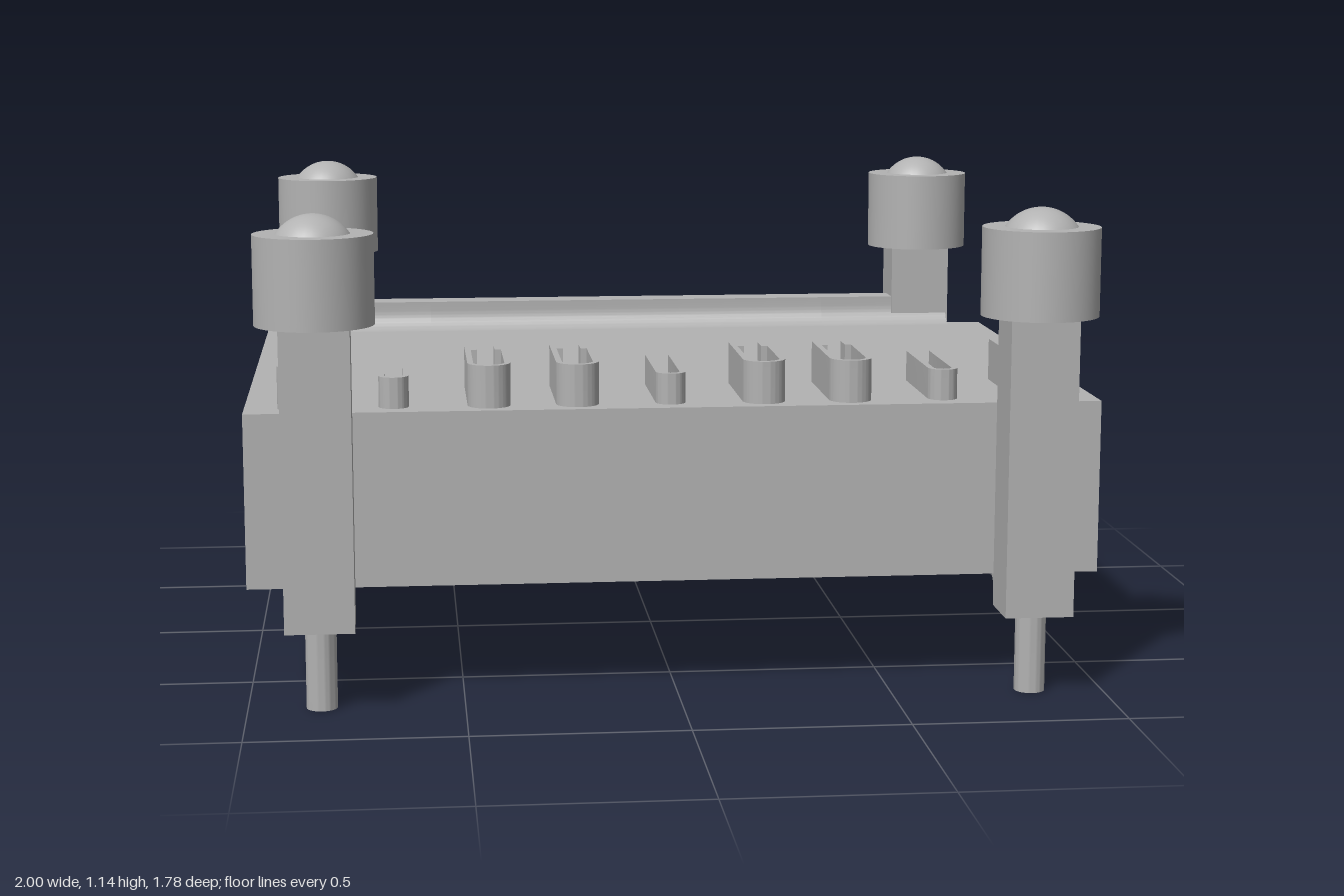
import * as THREE from 'three';
import { toCreasedNormals } from 'three/addons/utils/BufferGeometryUtils.js';

const grey = new THREE.MeshStandardMaterial({ color: 0xb2b2b2 });
grey.name = 'plain grey';

export function createModel() {
  const model = new THREE.Group();
  model.name = 'postedTray';

  const add = (name, geometry, x = 0, y = 0, z = 0, parent = model) => {
    const mesh = new THREE.Mesh(geometry, grey);
    mesh.name = name;
    mesh.position.set(x, y, z);
    parent.add(mesh);
    return mesh;
  };
  const extrude = (shape, depth) => toCreasedNormals(
    new THREE.ExtrudeGeometry(shape, { depth, bevelEnabled: false, curveSegments: 20 }), 0.6);
  // Plan shape drawn as (x, -z), raised along y
  const raise = (shape, height) => extrude(shape, height).rotateX(-Math.PI / 2);
  // Side profile drawn as (-z, y), run along x
  const runAlongX = (shape, length) => extrude(shape, length).rotateY(Math.PI / 2);

  // Main slab
  add('body', new THREE.BoxGeometry(2, 0.41, 1.365), 0, 0.475, 0);

  // Back rail section, with fillets into the body; the middle part is recessed
  const railProfile = (recess) => {
    const s = new THREE.Shape();
    s.moveTo(0.77, 0.195);
    if (recess) {
      s.lineTo(0.745, 0.245);
      s.lineTo(0.745, 0.702);
    }
    s.lineTo(0.77, 0.755);
    s.lineTo(0.69, 0.755);
    s.lineTo(0.69, 0.73);
    s.quadraticCurveTo(0.687, 0.683, 0.64, 0.68);
    s.lineTo(0.64, 0.27);
    s.quadraticCurveTo(0.687, 0.267, 0.69, 0.22);
    s.lineTo(0.69, 0.195);
    s.closePath();
    return s;
  };
  add('backRailMiddle', runAlongX(railProfile(true), 1.1), -0.55);
  for (const x of [-0.905, 0.55]) add('backRailEnd', runAlongX(railProfile(false), 0.355), x);

  // Sloped sides of the back recess
  for (const s of [-1, 1]) {
    const wedge = new THREE.Shape([
      new THREE.Vector2(0.55 * s, 0.77),
      new THREE.Vector2(0.55 * s, 0.74),
      new THREE.Vector2(0.5 * s, 0.745),
    ]);
    add('recessSide', raise(wedge, 0.555), 0, 0.1975, 0);
  }

  // Fillet below the body, behind each front post
  const frontFillet = new THREE.Shape();
  frontFillet.moveTo(-0.695, 0.22);
  frontFillet.lineTo(-0.69, 0.22);
  frontFillet.quadraticCurveTo(-0.687, 0.267, -0.64, 0.27);
  frontFillet.lineTo(-0.695, 0.28);
  frontFillet.closePath();

  // Hollow-ended foot pin
  const footRing = new THREE.Shape().absarc(0, 0, 0.036, 0, Math.PI * 2);
  footRing.holes.push(new THREE.Path().absarc(0, 0, 0.013, 0, Math.PI * 2, true));

  // Dome: base radius 0.084, height 0.045
  const domeR = 0.101;
  const domeAngle = Math.asin(0.084 / domeR);

  // Corner posts
  for (const sx of [-1, 1]) {
    for (const sz of [-1, 1]) {
      const corner = new THREE.Group();
      corner.name = (sz > 0 ? 'front' : 'back') + (sx > 0 ? 'Left' : 'Right') + 'Post';
      corner.position.set(0.83 * sx, 0, 0.753 * sz);
      model.add(corner);
      add('shaft', new THREE.BoxGeometry(0.16, 0.705, 0.136), 0, 0.5475, 0, corner);
      add('cap', new THREE.CylinderGeometry(0.136, 0.136, 0.205, 48), 0, 0.9975, 0, corner);
      add('dome', new THREE.SphereGeometry(domeR, 32, 10, 0, Math.PI * 2, 0, domeAngle),
        0, 1.145 - domeR, 0, corner);
      add('foot', raise(footRing, 0.2), 0, 0, -0.02 * sz, corner);
    }
    add('frontFillet', runAlongX(frontFillet, 0.16), 0.83 * sx - 0.08);
  }

  // Hairpin clip: U-shaped loop open to the back, arms thickened at the tips
  const clipShape = (outer, inner, tip) => {
    const bend = -0.605, end = -0.335, step = -0.4;
    const s = new THREE.Shape();
    s.moveTo(-outer, end);
    s.lineTo(-outer, bend);
    s.absarc(0, bend, outer, Math.PI, Math.PI * 2, false);
    s.lineTo(outer, end);
    s.lineTo(tip, end);
    if (tip < inner) {
      s.lineTo(tip, step);
      s.lineTo(inner, step);
    }
    s.lineTo(inner, bend);
    s.absarc(0, bend, inner, 0, Math.PI, true);
    if (tip < inner) {
      s.lineTo(-inner, step);
      s.lineTo(-tip, step);
    }
    s.lineTo(-tip, end);
    s.closePath();
    return s;
  };
  const addClips = (name, xs, shape, height, pinR) => {
    const clip = raise(shape, height);
    const pin = new THREE.CylinderGeometry(pinR, pinR, 0.03, 24);
    for (const x of xs) {
      add(name, clip, x, 0.68, 0);
      add(name + 'Pin', pin, x, 0.69, 0.605);
    }
  };
  addClips('largeClip', [-0.873, -0.434, -0.228, 0.21, 0.415, 0.855],
    clipShape(0.05, 0.036, 0.021), 0.1, 0.035);
  addClips('smallClip', [-0.655, -0.01, 0.635],
    clipShape(0.035, 0.021, 0.021), 0.073, 0.02);

  return model;
}
